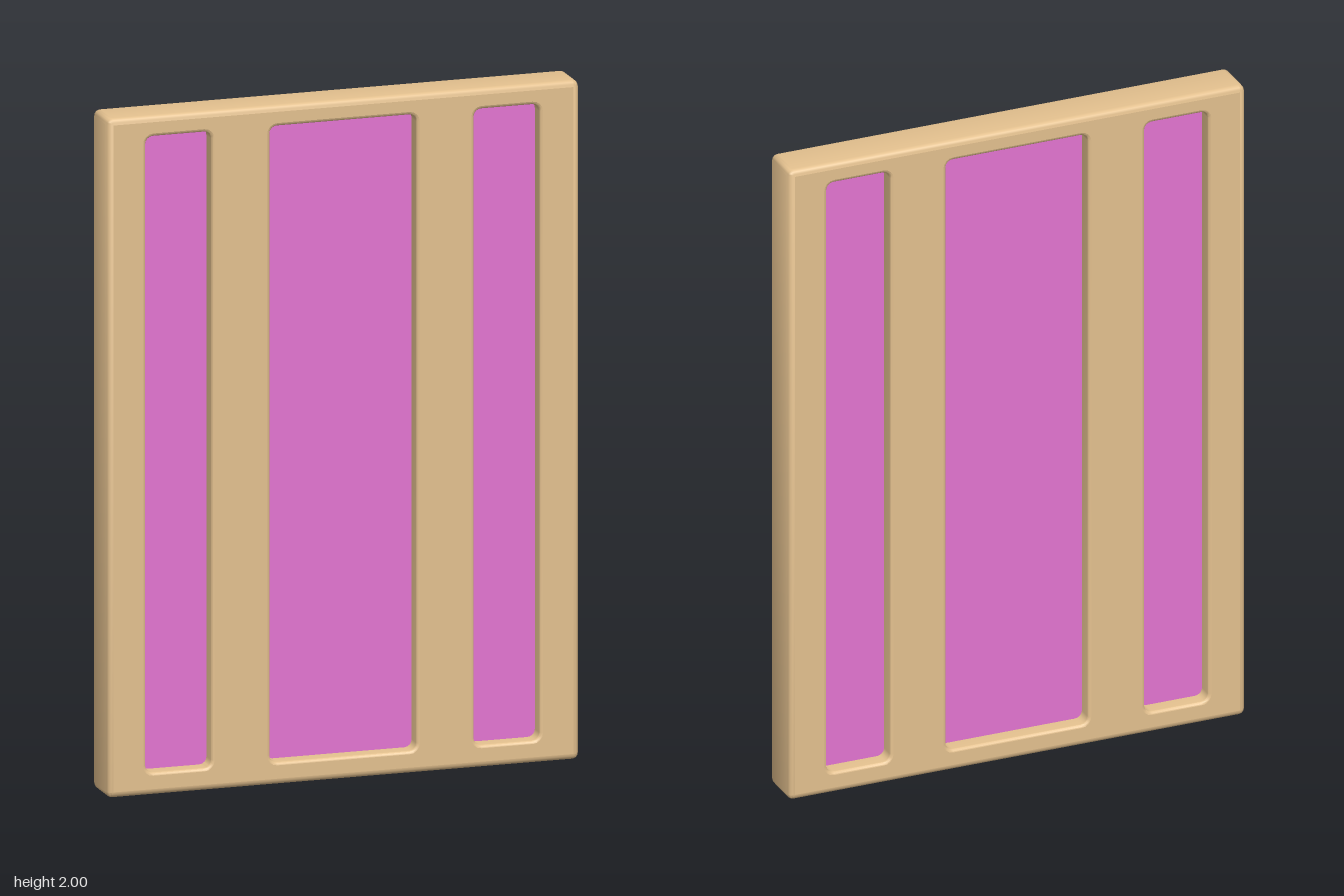
import * as THREE from 'three';
import { mergeGeometries, toCreasedNormals } from 'three/addons/utils/BufferGeometryUtils.js';

const CORNER_STEPS = 4, BEVEL_STEPS = 4;
const halfDepth = 0.068;

// Counter-clockwise rounded rectangle at depth z, shrunk by inset (grown if negative)
function rectLoop({ x0, y0, x1, y1, r }, inset, z) {
  const radius = Math.max(r - inset, 0);
  const reach = inset + radius;
  const centres = [
    [x0 + reach, y0 + reach], [x1 - reach, y0 + reach],
    [x1 - reach, y1 - reach], [x0 + reach, y1 - reach],
  ];
  const loop = [];
  centres.forEach(([cx, cy], corner) => {
    for (let i = 0; i <= CORNER_STEPS; i++) {
      const a = Math.PI + (corner + i / CORNER_STEPS) * Math.PI / 2;
      loop.push([cx + radius * Math.cos(a), cy + radius * Math.sin(a), z]);
    }
  });
  return loop;
}

// Skin a series of matching closed loops
function loft(loops) {
  const n = loops[0].length;
  const index = [];
  for (let i = 0; i < loops.length - 1; i++) {
    for (let j = 0; j < n; j++) {
      const k = (j + 1) % n;
      const a = i * n + j, b = i * n + k, c = b + n, d = a + n;
      index.push(a, d, c, a, c, b);
    }
  }
  const geometry = new THREE.BufferGeometry();
  geometry.setAttribute('position', new THREE.Float32BufferAttribute(loops.flat(2), 3));
  geometry.setIndex(index);
  return toCreasedNormals(geometry, 0.7);
}

// Loops from front to back for a wall rounded at both faces;
// side is 1 for an outer wall and -1 for an opening
function wallLoops(rect, bevel, side) {
  const front = [], back = [];
  for (let i = 0; i <= BEVEL_STEPS; i++) {
    const t = i / BEVEL_STEPS * Math.PI / 2;
    const inset = side * bevel * (1 - Math.sin(t));
    const z = halfDepth - bevel * (1 - Math.cos(t));
    front.push(rectLoop(rect, inset, z));
    back.unshift(rectLoop(rect, inset, -z));
  }
  return [...front, ...back];
}

export function createModel() {
  const wood = new THREE.MeshStandardMaterial({ name: 'tan wood', color: 0xe3c08e });
  const pink = new THREE.MeshStandardMaterial({ name: 'orchid panel', color: 0xe374d1 });

  const model = new THREE.Group();
  model.name = 'panelledDoor';

  const outerBevel = 0.018, openingBevel = 0.009;
  const outer = { x0: -0.707, y0: 0.003, x1: 0.707, y1: 2, r: outerBevel };
  const bottom = 0.069, top = 1.94;
  const faceEdge = outer.x1 - outerBevel, divide = 0.3075;

  // Each opening with the strip of frame face around it
  const openings = [
    { name: 'rightPanel', x0: -0.592, x1: -0.395, cell: [-faceEdge, -divide] },
    { name: 'centrePanel', x0: -0.22, x1: 0.22, cell: [-divide, divide] },
    { name: 'leftPanel', x0: 0.392, x1: 0.589, cell: [divide, faceEdge] },
  ];

  // Frame: rounded outer rim, then flat faces and rounded walls of each opening
  const pieces = [loft(wallLoops(outer, outerBevel, 1))];
  for (const { name, x0, x1, cell } of openings) {
    const hole = { x0, y0: bottom, x1, y1: top, r: 0.022 };
    const face = {
      x0: cell[0], y0: outer.y0 + outerBevel,
      x1: cell[1], y1: outer.y1 - outerBevel, r: 0,
    };
    const wall = wallLoops(hole, openingBevel, -1).reverse();
    pieces.push(
      loft([rectLoop(face, 0, -halfDepth), wall[0]]),
      loft(wall),
      loft([wall[wall.length - 1], rectLoop(face, 0, halfDepth)]),
    );

    // Recessed panel, seated slightly into the frame and seen from both sides
    const panel = new THREE.Mesh(
      new THREE.BoxGeometry(x1 - x0 + 0.02, top - bottom + 0.02, 0.04), pink);
    panel.position.set((x0 + x1) / 2, (top + bottom) / 2, 0);
    panel.name = name;
    model.add(panel);
  }
  const frame = new THREE.Mesh(mergeGeometries(pieces), wood);
  frame.name = 'frame';
  model.add(frame);

  return model;
}
